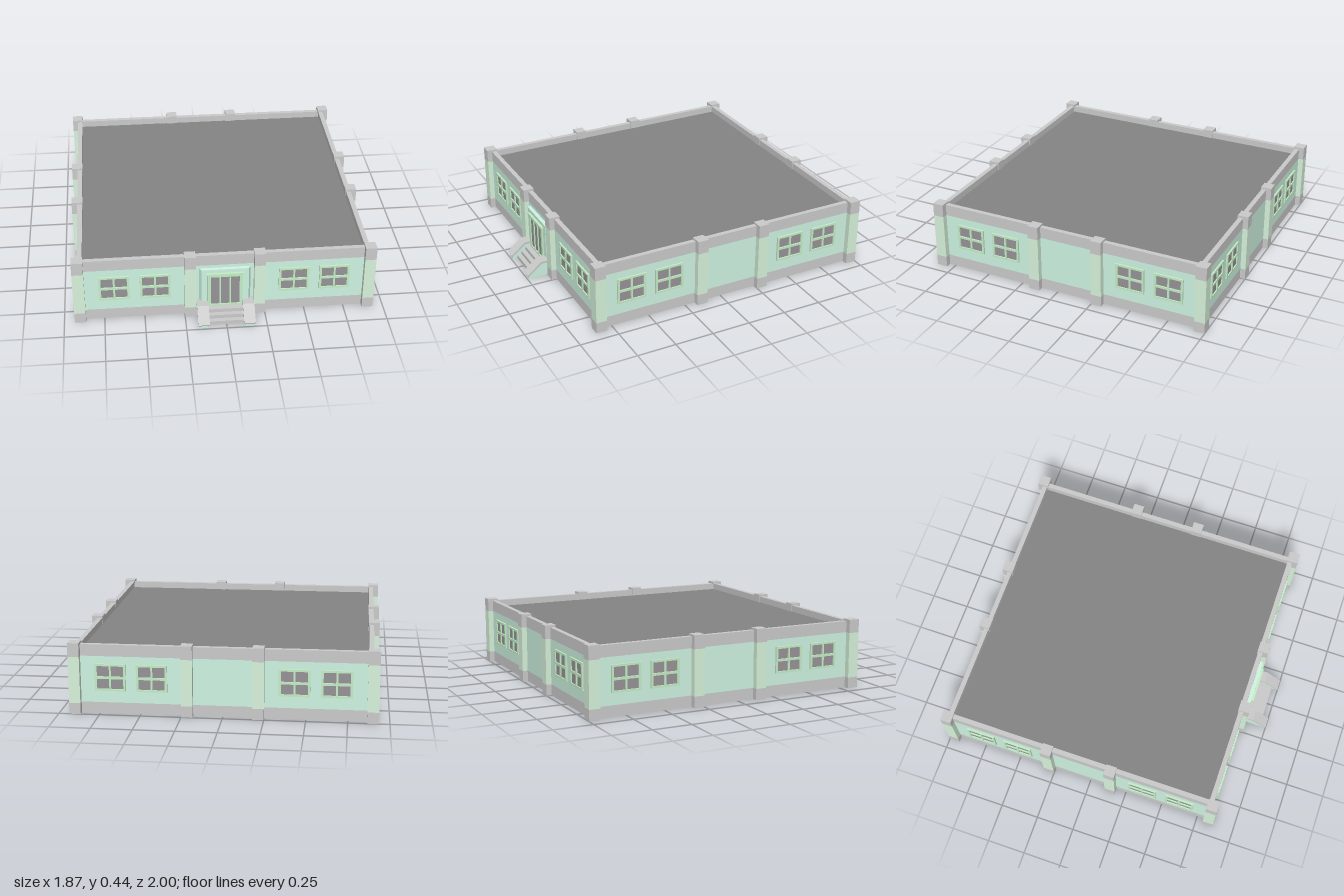
import * as THREE from 'three';

const mat = (color) => new THREE.MeshStandardMaterial({ color });
const GREY = mat(0xcccccc), MINT = mat(0xcff5e3), PALE = mat(0xd8f4dc);
const FRAME = mat(0xc6efc8), GLASS = mat(0x989498), ROOF = mat(0x858585);
const ZC = -0.0675; // centre of the square building in z
const HALF = 0.8985; // half width of the outer walls

function add(parent, name, geometry, material) {
  const mesh = new THREE.Mesh(geometry, material);
  mesh.name = name;
  parent.add(mesh);
  return mesh;
}

// box given by its minimum and maximum on each axis
function box(parent, name, material, x0, x1, y0, y1, z0, z1) {
  const mesh = add(parent, name, new THREE.BoxGeometry(x1 - x0, y1 - y0, z1 - z0), material);
  mesh.position.set((x0 + x1) / 2, (y0 + y1) / 2, (z0 + z1) / 2);
  return mesh;
}

function polygon(points, Type = THREE.Shape) {
  return new Type(points.map(([x, y]) => new THREE.Vector2(x, y)));
}

const rect = (x0, x1, y0, y1) => [[x0, y0], [x1, y0], [x1, y1], [x0, y1]];

function extrude(shape, depth) {
  return new THREE.ExtrudeGeometry(shape, { depth, bevelEnabled: false });
}

// square ring of wall with an open middle
function ring(parent, name, material, inner, y0, y1) {
  const shape = polygon(rect(-HALF, HALF, -HALF, HALF));
  shape.holes.push(polygon(rect(-inner, inner, -inner, inner), THREE.Path));
  const mesh = add(parent, name, extrude(shape, y1 - y0).rotateX(-Math.PI / 2), material);
  mesh.position.set(0, y0, ZC);
}

// flat frame with openings, and a recessed pane in each one
function glazedFrame(name, outer, openings, depth) {
  const group = new THREE.Group();
  group.name = name;
  const shape = polygon(rect(...outer));
  openings.forEach((o) => shape.holes.push(polygon(rect(...o), THREE.Path)));
  add(group, name + 'Frame', extrude(shape, depth), FRAME);
  openings.forEach((o) => box(group, name + 'Pane', GLASS, ...o, 0, 0.003));
  return group;
}

function makeWindow() {
  const panes = [];
  for (const [x0, x1] of [[-0.08, -0.006], [0.006, 0.08]])
    for (const [y0, y1] of [[0.157, 0.22], [0.235, 0.3]]) panes.push([x0, x1, y0, y1]);
  return glazedFrame('window', [-0.094, 0.094, 0.145, 0.313], panes, 0.011);
}

function pillar(parent, x, z) {
  const group = new THREE.Group();
  group.name = 'pillar';
  const h = 0.035;
  box(group, 'pillarBase', GREY, -h, h, 0, 0.07, -h, h);
  box(group, 'pillarShaft', PALE, -h, h, 0.07, 0.36, -h, h);
  box(group, 'pillarCap', GREY, -h, h, 0.36, 0.445, -h, h);
  group.position.set(x, 0, z);
  parent.add(group);
}

function makeEntrance() {
  const group = new THREE.Group();
  group.name = 'entrance';

  // porch surround with canted sides
  const plan = polygon([[-0.147, -0.855], [0.147, -0.855], [0.165, -0.82], [-0.165, -0.82]]);
  add(group, 'porch', extrude(plan, 0.34).rotateX(-Math.PI / 2), MINT);

  // three-pane door with a small cornice
  const panes = [-0.062, 0, 0.062].map((x) => [x - 0.027, x + 0.027, 0.085, 0.29]);
  const door = glazedFrame('door', [-0.108, 0.108, 0.07, 0.308], panes, 0.01);
  door.position.z = 0.855;
  group.add(door);
  box(group, 'doorCornice', FRAME, -0.118, 0.118, 0.304, 0.316, 0.85, 0.87);

  // steps
  [[0.073, 0.9], [0.049, 0.93], [0.025, 0.96]].forEach(([top, front]) =>
    box(group, 'step', GREY, -0.11, 0.11, 0, top, 0.83, front));

  // sloping side walls of the steps, each with a coping slab
  const body = [[0.83, 0], [0.99, 0], [0.99, 0.023], [0.9, 0.095], [0.83, 0.095]];
  const coping = [[0.83, 0.092], [0.9, 0.092], [0.995, 0.02], [1, 0.028], [0.905, 0.106], [0.83, 0.106]];
  for (const side of [-1, 1]) {
    [['stepWall', body, 0.056, MINT], ['stepCoping', coping, 0.072, GREY]].forEach(([name, pts, w, m]) => {
      const geometry = extrude(polygon(pts), w).translate(0, 0, -w / 2).rotateY(-Math.PI / 2);
      add(group, name, geometry, m).position.x = side * 0.142;
    });
  }
  return group;
}

export function createModel() {
  const model = new THREE.Group();
  model.name = 'building';

  // walls in three bands, hollow underneath
  ring(model, 'baseBand', GREY, 0.535, 0, 0.07);
  ring(model, 'walls', MINT, 0.535, 0.07, 0.36);
  ring(model, 'parapet', GREY, 0.868, 0.36, 0.432);
  box(model, 'roof', ROOF, -0.868, 0.868, 0.34, 0.39, ZC - 0.868, ZC + 0.868);

  // pillars at the corners and along each side
  for (const s of [-1, 1]) {
    for (const x of [-0.9, -0.215, 0.215, 0.9]) pillar(model, x, ZC + s * 0.8975);
    for (const z of [-0.283, 0.147]) pillar(model, s * 0.9, z);
  }

  // paired windows in the outer bays of every side
  const sides = [[0, 0], [Math.PI / 2, 0], [Math.PI, 0], [-Math.PI / 2, 0]];
  for (const [angle] of sides) {
    const wall = new THREE.Group();
    wall.name = 'windowRow';
    for (const x of [-0.683, -0.43, 0.43, 0.683]) {
      const win = makeWindow();
      win.position.set(x, 0, HALF);
      wall.add(win);
    }
    wall.rotation.y = angle;
    wall.position.z = ZC;
    model.add(wall);
  }

  model.add(makeEntrance());
  return model;
}
